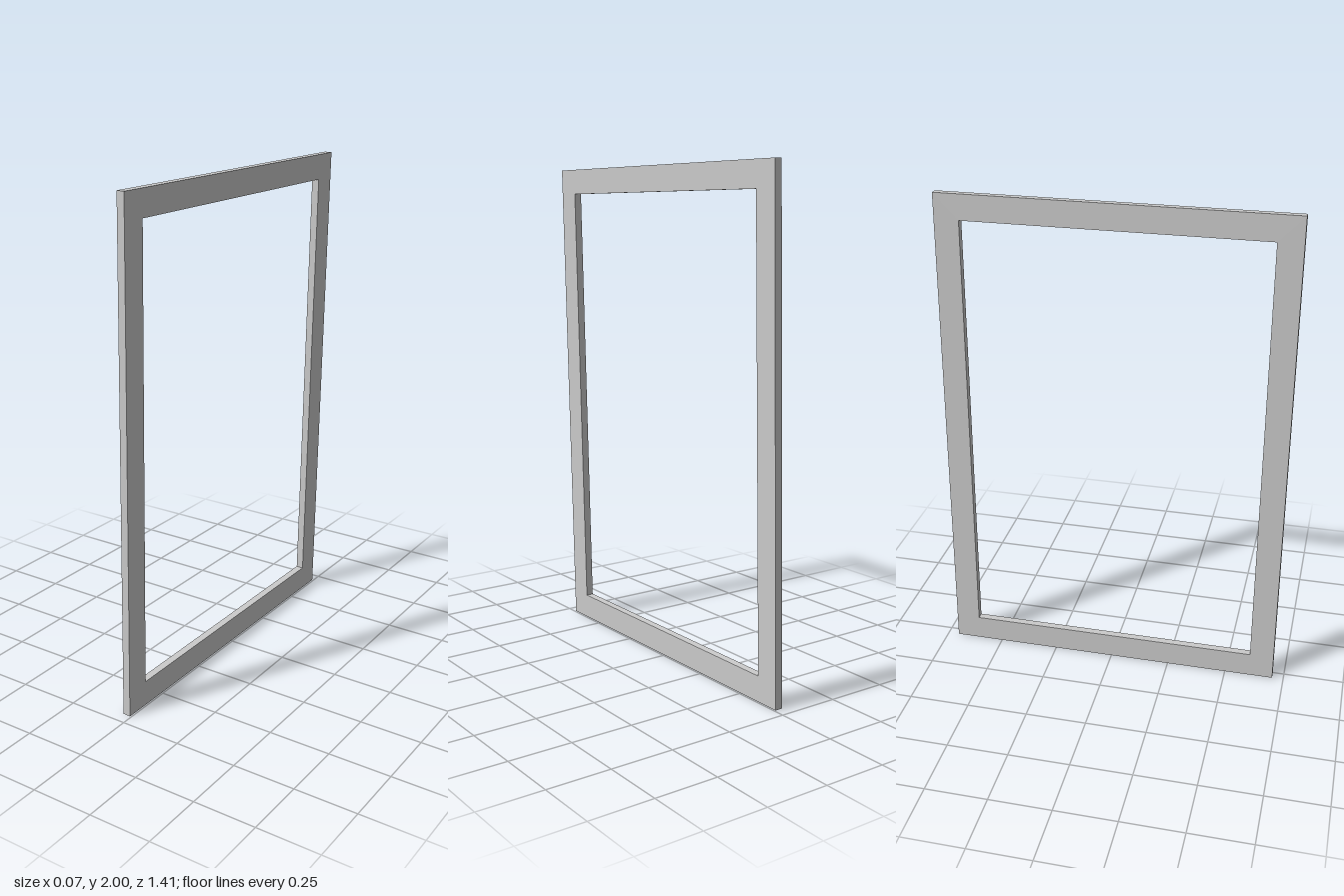
import * as THREE from 'three';

// Rectangle outline centred on the origin
function rectangle(PathType, width, height) {
  const w = width / 2, h = height / 2;
  const path = new PathType();
  path.moveTo(-w, -h);
  path.lineTo(w, -h);
  path.lineTo(w, h);
  path.lineTo(-w, h);
  path.closePath();
  return path;
}

export function createModel() {
  const width = 1.406, height = 2, border = 0.1, depth = 0.031, lean = 0.022;

  // Flat rectangular frame with an open middle
  const outline = rectangle(THREE.Shape, width, height);
  outline.holes.push(rectangle(THREE.Path, width - 2 * border, height - 2 * border - 0.005));
  const geometry = new THREE.ExtrudeGeometry(outline, { depth, bevelEnabled: false });

  // Turn it to face sideways, lean it slightly, and stand it on the ground
  geometry.translate(0, 0, -depth / 2);
  geometry.rotateY(Math.PI / 2);
  geometry.rotateZ(-lean);
  geometry.computeBoundingBox();
  geometry.translate(0, -geometry.boundingBox.min.y, 0);

  const frame = new THREE.Mesh(geometry, new THREE.MeshStandardMaterial({ color: 0xcccccc }));
  frame.name = 'frame';

  const model = new THREE.Group();
  model.name = 'leaningFrame';
  model.add(frame);
  return model;
}
